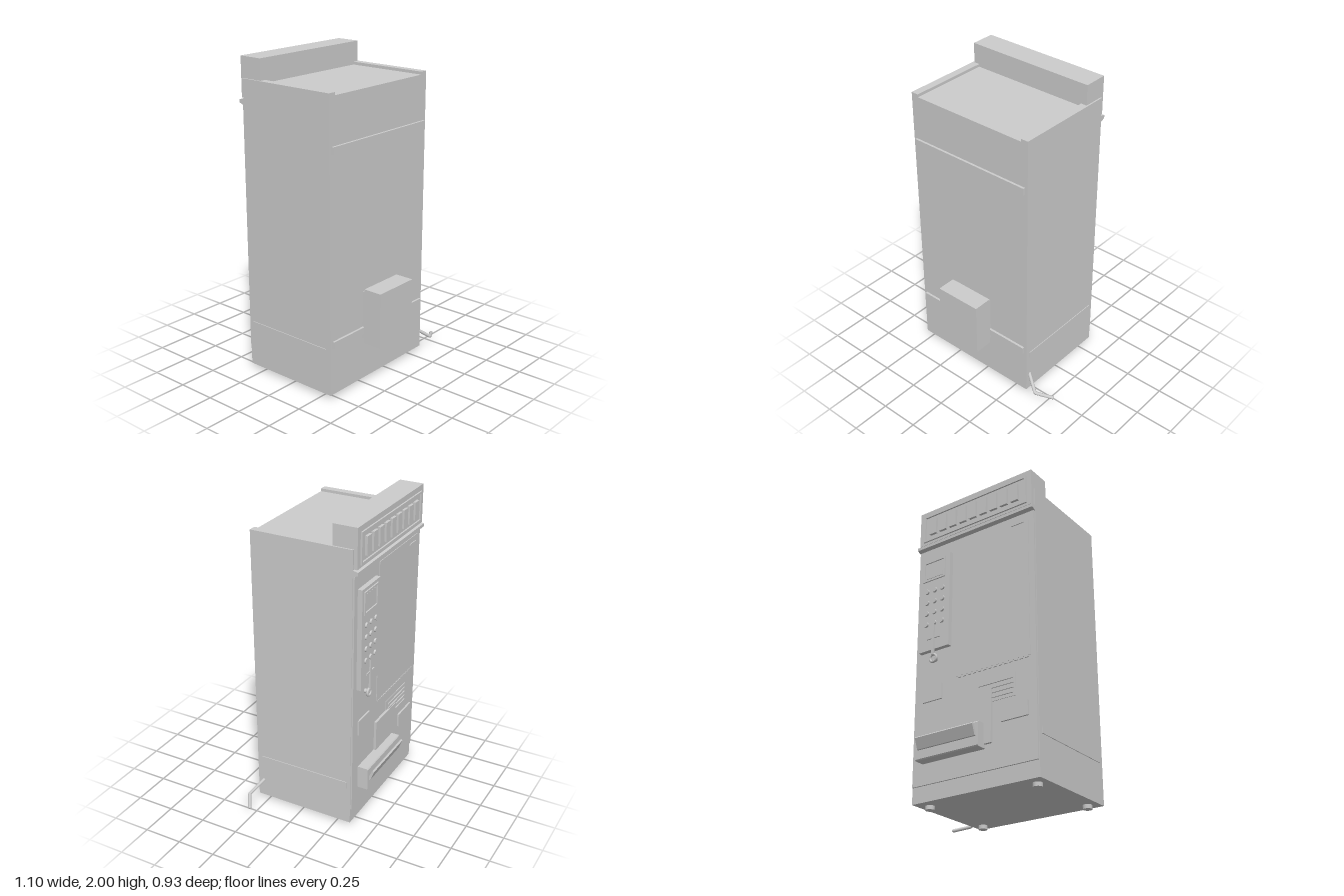
import * as THREE from 'three';

const grey = new THREE.MeshStandardMaterial({ color: 0xcccccc });

export function createModel() {
  const model = new THREE.Group();

  const add = (name, geometry, x = 0, y = 0, z = 0) => {
    const mesh = new THREE.Mesh(geometry, grey);
    mesh.name = name;
    mesh.position.set(x, y, z);
    model.add(mesh);
    return mesh;
  };
  // Box from its extents on each axis
  const box = (name, x0, x1, y0, y1, z0, z1) =>
    add(name, new THREE.BoxGeometry(x1 - x0, y1 - y0, z1 - z0),
      (x0 + x1) / 2, (y0 + y1) / 2, (z0 + z1) / 2);
  // Rectangular frame facing -z
  const frame = (name, x0, x1, y0, y1, z0, z1, t) => {
    box(name, x0, x1, y0, y0 + t, z0, z1);
    box(name, x0, x1, y1 - t, y1, z0, z1);
    box(name, x0, x0 + t, y0 + t, y1 - t, z0, z1);
    box(name, x1 - t, x1, y0 + t, y1 - t, z0, z1);
  };
  // Profile given as (z, y) points, extruded along x
  const profile = (name, points, x0, x1) => {
    const shape = new THREE.Shape(points.map(([z, y]) => new THREE.Vector2(-z, y)));
    const g = new THREE.ExtrudeGeometry(shape, { depth: x1 - x0, bevelEnabled: false });
    return add(name, g.rotateY(Math.PI / 2), x0);
  };

  // Cabinet with raised side walls and feet
  box('cabinet', -0.5, 0.305, 0.025, 1.852, -0.35, 0.32);
  box('sideWall', -0.545, -0.495, 0.025, 1.87, -0.35, 0.32);
  box('sideWall', 0.30, 0.35, 0.025, 1.87, -0.35, 0.32);
  for (const x of [-0.475, 0.28])
    for (const z of [-0.27, 0.25])
      add('foot', new THREE.CylinderGeometry(0.028, 0.028, 0.03, 24), x, 0.015, z);
  box('sideStrip', -0.55, -0.545, 0.28, 0.325, -0.325, 0.29);
  box('sideStrip', 0.35, 0.355, 0.28, 0.325, -0.325, 0.29);

  // Wall side: two rails and the service box
  for (const y of [0.33, 1.52]) box('wallRail', -0.525, 0.33, y, y + 0.046, 0.32, 0.335);
  box('serviceBoxMount', -0.245, 0.05, 0.30, 0.61, 0.32, 0.345);
  box('serviceBox', -0.255, 0.06, 0.275, 0.63, 0.34, 0.463);

  // Power cable stub
  const cable = new THREE.CurvePath();
  const bends = [[0.34, 0.145, 0.28], [0.44, 0.065, 0.34], [0.535, 0.04, 0.28]]
    .map((p) => new THREE.Vector3(...p));
  cable.add(new THREE.LineCurve3(bends[0], bends[1]));
  cable.add(new THREE.LineCurve3(bends[1], bends[2]));
  add('cable', new THREE.TubeGeometry(cable, 32, 0.011, 10));
  add('cableEnd', new THREE.SphereGeometry(0.011, 10, 8), 0.535, 0.04, 0.28);

  // Header sign with raised plates
  box('header', -0.535, 0.34, 1.752, 2.0, -0.373, -0.215);
  frame('headerFrame', -0.5, 0.305, 1.77, 1.965, -0.383, -0.37, 0.014);
  for (let i = 0; i < 9; i++) {
    const x = -0.415 + i * 0.08;
    box('headerPlate', x - 0.027, x + 0.027, 1.81, 1.925, -0.39, -0.37);
  }
  profile('headerLedge', [[-0.34, 1.752], [-0.383, 1.742], [-0.383, 1.722], [-0.34, 1.705]], -0.545, 0.35);

  // Door and display pane
  box('door', -0.54, 0.345, 0.125, 1.71, -0.36, -0.34);
  box('displayPane', -0.5, 0.03, 0.755, 1.69, -0.364, -0.35);
  box('paneLabel', -0.47, -0.38, 1.645, 1.655, -0.37, -0.36);
  for (let i = 0; i < 14; i++) {
    const x = -0.49 + i * 0.037;
    box('paneTrim', x, x + 0.024, 0.742, 0.754, -0.367, -0.355);
  }

  // Control panel with screen, keypad and handle
  box('controlPanel', 0.075, 0.305, 0.97, 1.62, -0.39, -0.355);
  frame('screenFrame', 0.11, 0.285, 1.455, 1.6, -0.398, -0.388, 0.014);
  box('screen', 0.13, 0.265, 1.475, 1.58, -0.393, -0.388);
  for (let row = 0; row < 4; row++)
    for (let col = 0; col < 3; col++)
      add('button', new THREE.CylinderGeometry(0.016, 0.018, 0.012, 16).rotateX(-Math.PI / 2),
        0.13 + col * 0.06, 1.15 + row * 0.077, -0.394);
  box('slot', 0.14, 0.24, 1.043, 1.055, -0.396, -0.388);
  box('handleBar', 0.183, 0.199, 0.93, 1.14, -0.4, -0.388);
  add('handleRing', new THREE.TorusGeometry(0.024, 0.008, 8, 24), 0.191, 0.91, -0.388);
  add('handleHub', new THREE.CylinderGeometry(0.014, 0.014, 0.035, 16).rotateX(Math.PI / 2), 0.191, 0.91, -0.373);

  // Lower door plates and vent bars
  box('coinPlate', 0.135, 0.28, 0.64, 0.74, -0.37, -0.355);
  box('deliveryPlate', -0.235, 0.05, 0.28, 0.61, -0.376, -0.355);
  box('lowerPlate', -0.485, -0.3, 0.39, 0.48, -0.372, -0.355);
  box('ventBacking', -0.4, -0.11, 0.53, 0.675, -0.364, -0.355);
  for (let i = 0; i < 4; i++)
    box('ventBar', -0.385, -0.14, 0.55 + i * 0.03, 0.56 + i * 0.03, -0.371, -0.36);

  // Tray with a tilted flap
  profile('tray', [[-0.355, 0.255], [-0.425, 0.255], [-0.43, 0.262], [-0.43, 0.398],
    [-0.425, 0.405], [-0.355, 0.405]], -0.185, 0.27);
  profile('trayFlap', [[-0.425, 0.315], [-0.438, 0.318], [-0.463, 0.383],
    [-0.455, 0.391], [-0.448, 0.386], [-0.425, 0.33]], -0.168, 0.25);

  return model;
}
